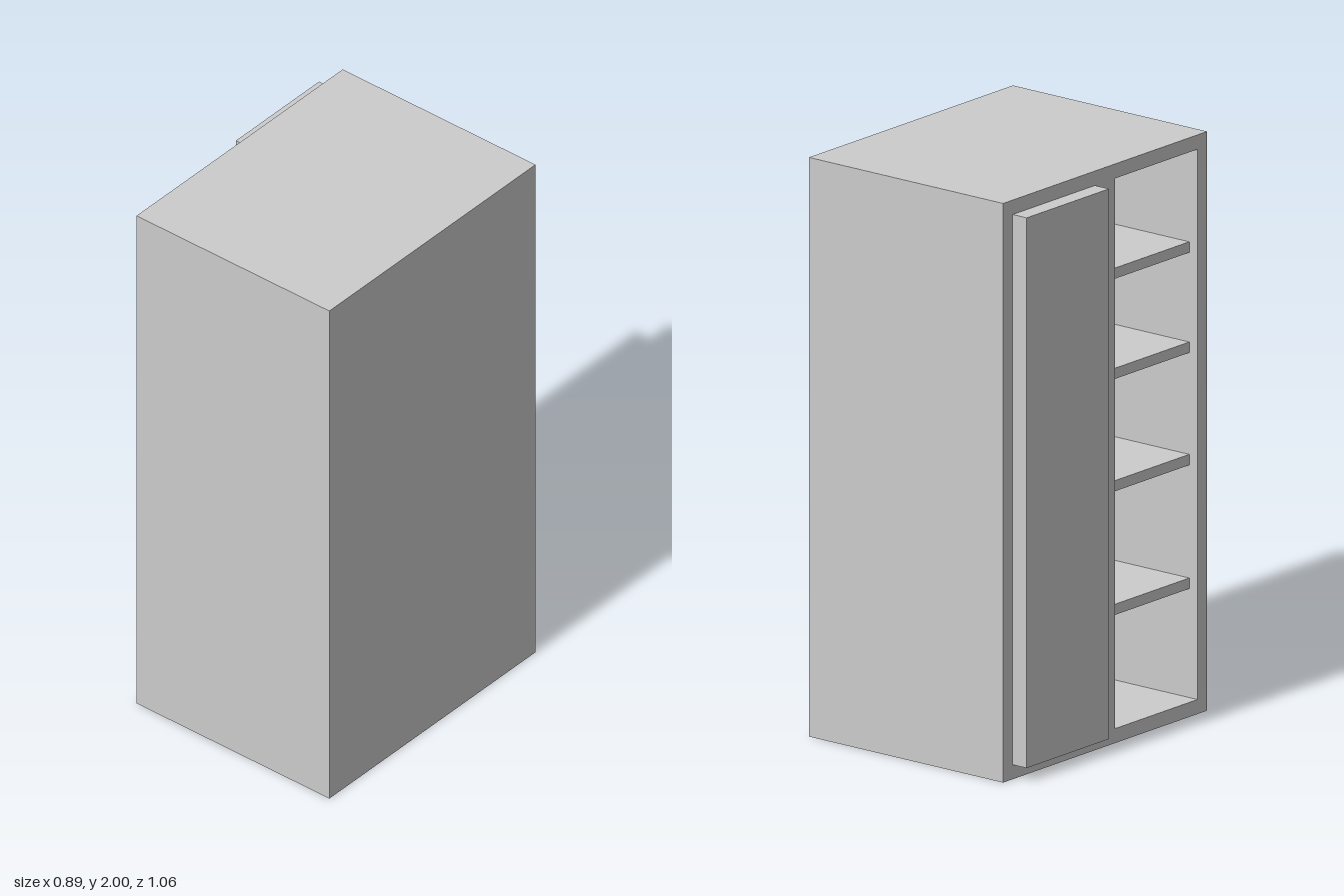
import * as THREE from 'three';

const mat = new THREE.MeshStandardMaterial({ color: 0xcccccc, flatShading: true });

// Box given by its minimum and maximum corners
function box(name, min, max) {
  const size = max.map((v, i) => v - min[i]);
  const mesh = new THREE.Mesh(new THREE.BoxGeometry(...size), mat);
  mesh.name = name;
  mesh.position.set(...max.map((v, i) => (v + min[i]) / 2));
  return mesh;
}

function rect(target, x0, y0, x1, y1) {
  target.moveTo(x0, y0);
  target.lineTo(x1, y0);
  target.lineTo(x1, y1);
  target.lineTo(x0, y1);
  target.closePath();
  return target;
}

export function createModel() {
  const group = new THREE.Group();
  group.name = 'cabinet';

  const depth = 0.532;            // half size along z
  const openX = -0.385;           // face with the two bays
  const wallX = 0.395, outerX = 0.445;
  const bay = { inner: 0.053, outer: 0.482, bottom: 0.05, top: 1.95 };

  // Carcass: frame with two tall bays, drawn in z/y and extruded along x
  const profile = rect(new THREE.Shape(), -depth, 0, depth, 2);
  profile.holes.push(
    rect(new THREE.Path(), -bay.outer, bay.bottom, -bay.inner, bay.top),
    rect(new THREE.Path(), bay.inner, bay.bottom, bay.outer, bay.top)
  );
  const frameGeo = new THREE.ExtrudeGeometry(profile, { depth: wallX - openX, bevelEnabled: false });
  frameGeo.rotateY(-Math.PI / 2).translate(wallX, 0, 0);
  const frame = new THREE.Mesh(frameGeo, mat);
  frame.name = 'carcass';
  group.add(frame);

  // Panel closing the far side of the bays
  group.add(box('rearPanel', [wallX, 0, -depth], [outerX, 2, depth]));

  // Door covering one bay
  group.add(box('door', [-0.445, bay.bottom, -bay.outer], [openX, bay.top, -bay.inner]));

  // Shelves of the open bay, slightly set back
  [0.463, 0.89, 1.278, 1.624].forEach((top, i) => {
    group.add(box(`shelf${i + 1}`, [-0.35, top - 0.037, bay.inner], [wallX, top, bay.outer]));
  });

  return group;
}
